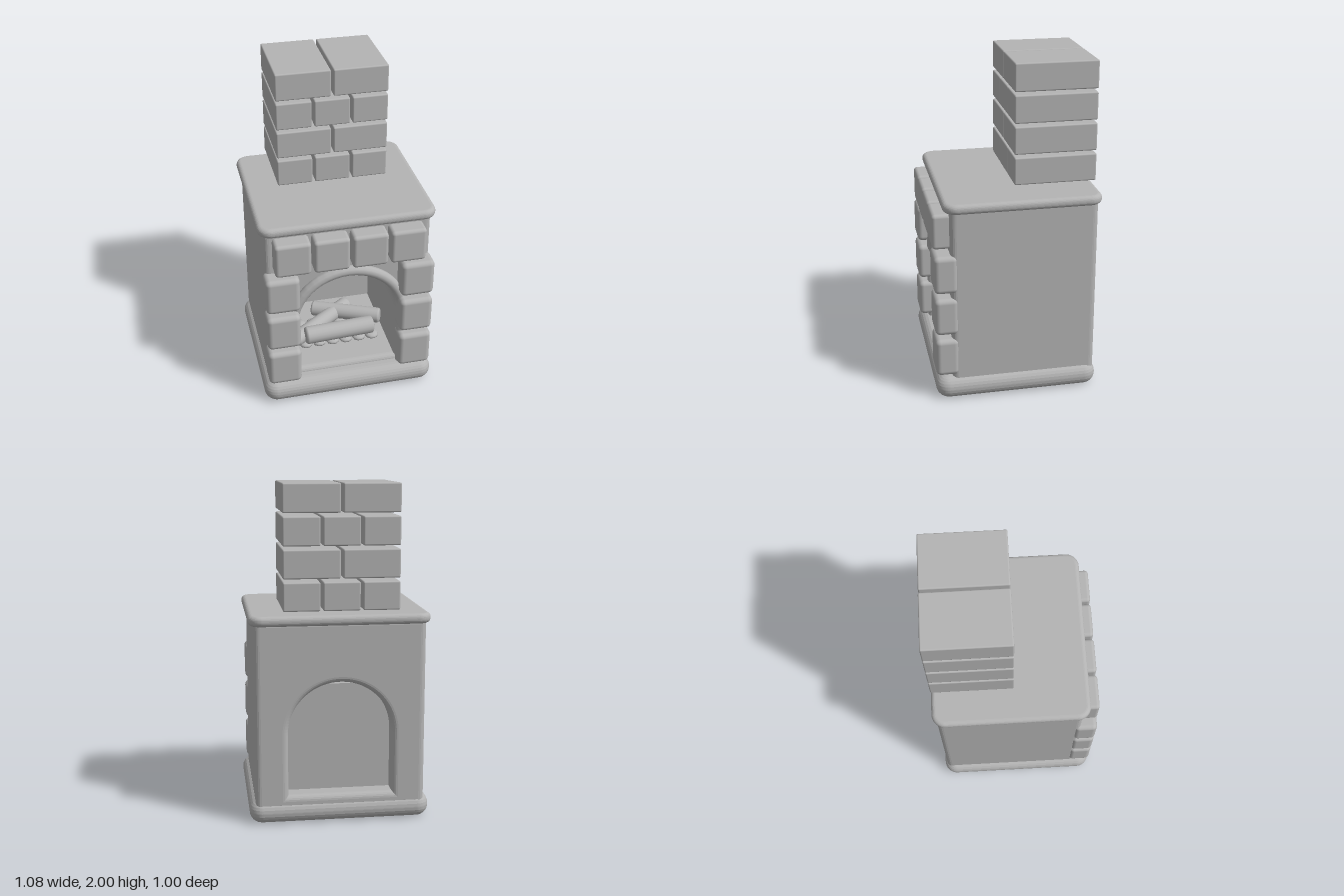
import * as THREE from 'three';
import { RoundedBoxGeometry } from 'three/addons/geometries/RoundedBoxGeometry.js';

const stone = new THREE.MeshStandardMaterial({ color: 0xb4b4b4 });
stone.name = 'stone grey';

function add(parent, name, geometry) {
  const mesh = new THREE.Mesh(geometry, stone);
  mesh.name = name;
  parent.add(mesh);
  return mesh;
}

// Rounded box given by its limits on each axis
function block(parent, name, [x0, x1], [y0, y1], [z0, z1], radius) {
  const geo = new RoundedBoxGeometry(x1 - x0, y1 - y0, z1 - z0, 3, radius);
  add(parent, name, geo).position.set((x0 + x1) / 2, (y0 + y1) / 2, (z0 + z1) / 2);
}

// Horizontal slab with round corners in plan and a fully rounded rim
function slab(parent, name, halfWidth, [y0, y1], [z0, z1], corner) {
  const r = (y1 - y0) / 2 - 0.003;
  const w = halfWidth, a = -z1, b = -z0, c = corner;
  const s = new THREE.Shape();
  s.absarc(w - c, b - c, c, 0, Math.PI / 2);
  s.absarc(-w + c, b - c, c, Math.PI / 2, Math.PI);
  s.absarc(-w + c, a + c, c, Math.PI, Math.PI * 1.5);
  s.absarc(w - c, a + c, c, Math.PI * 1.5, Math.PI * 2);
  s.closePath();
  const geo = new THREE.ExtrudeGeometry(s, {
    depth: y1 - y0 - 2 * r, bevelThickness: r, bevelSize: Math.min(r, c * 0.9),
    bevelOffset: -Math.min(r, c * 0.9), bevelSegments: 6, curveSegments: 8,
  });
  geo.rotateX(-Math.PI / 2).translate(0, y0 + r, 0);
  add(parent, name, geo);
}

// Log with rounded rims lying between two points
function log(parent, from, to, radius) {
  const a = new THREE.Vector3(...from), b = new THREE.Vector3(...to);
  const h = a.distanceTo(b) / 2, e = 0.015;
  const profile = [[0, -h], [radius - e, -h], [radius - 0.004, -h + 0.005], [radius, -h + e],
    [radius, h - e], [radius - 0.004, h - 0.005], [radius - e, h], [0, h]];
  const mesh = add(parent, 'log', new THREE.LatheGeometry(profile.map(p => new THREE.Vector2(...p)), 18));
  mesh.position.copy(a).add(b).multiplyScalar(0.5);
  mesh.quaternion.setFromUnitVectors(new THREE.Vector3(0, 1, 0), b.sub(a).normalize());
}

export function createModel() {
  const model = new THREE.Group();
  model.name = 'fireplace';

  // Base and mantel
  slab(model, 'base', 0.54, [0, 0.14], [-0.49, 0.5], 0.08);
  slab(model, 'mantel', 0.535, [1.19, 1.25], [-0.5, 0.44], 0.08);

  // Body pierced by an arched opening with rounded edges
  const body = new THREE.Shape();
  body.moveTo(-0.505, 0.08).lineTo(0.505, 0.08).lineTo(0.505, 1.22).lineTo(-0.505, 1.22).closePath();
  const hole = new THREE.Path();
  hole.moveTo(-0.31, 0.17).lineTo(-0.31, 0.54);
  hole.absarc(0, 0.54, 0.31, Math.PI, 0, true);
  hole.lineTo(0.31, 0.17).closePath();
  body.holes.push(hole);
  const bevel = 0.035, front = 0.4, back = -0.475;
  const bodyGeo = new THREE.ExtrudeGeometry(body, {
    depth: front - back - 2 * bevel, bevelThickness: bevel, bevelSize: bevel,
    bevelOffset: -bevel, bevelSegments: 5, curveSegments: 28,
  });
  bodyGeo.translate(0, 0, back + bevel);
  add(model, 'body', bodyGeo);

  // Back panel closing most of the opening
  add(model, 'backPanel', new THREE.BoxGeometry(0.7, 0.72, 0.08)).position.set(0, 0.46, -0.32);

  // Round trim following the arch and its legs
  const R = 0.347, trim = new THREE.CurvePath();
  const points = [new THREE.Vector3(-R, 0.1, 0.41)];
  for (let i = 0; i <= 24; i++) {
    const t = Math.PI * (1 - i / 24);
    points.push(new THREE.Vector3(R * Math.cos(t), 0.54 + R * Math.sin(t), 0.41));
  }
  points.push(new THREE.Vector3(R, 0.1, 0.41));
  for (let i = 1; i < points.length; i++) trim.add(new THREE.LineCurve3(points[i - 1], points[i]));
  add(model, 'archTrim', new THREE.TubeGeometry(trim, 120, 0.033, 10));

  // Stones up both sides and across the top
  const stones = new THREE.Group();
  stones.name = 'facingStones';
  model.add(stones);
  for (const y of [[0.157, 0.395], [0.427, 0.66], [0.695, 0.93]]) {
    block(stones, 'leftStone', [0.31, 0.515], y, [0.36, 0.5], 0.03);
    block(stones, 'rightStone', [-0.515, -0.31], y, [0.36, 0.5], 0.03);
  }
  for (let i = 0; i < 4; i++) {
    const x = -0.455 + i * 0.231;
    block(stones, 'topStone', [x, x + 0.214], [0.955, 1.17], [0.36, 0.5], 0.022);
  }

  // Chimney rows alternating three and two bricks
  const chimney = new THREE.Group();
  chimney.name = 'chimney';
  model.add(chimney);
  for (let row = 0; row < 4; row++) {
    const count = row % 2 ? 2 : 3, gap = 0.016;
    const width = (0.676 - gap * (count - 1)) / count;
    const y = 1.278 + row * 0.1853;
    for (let i = 0; i < count; i++) {
      const x = -0.34 + i * (width + gap);
      block(chimney, 'brick', [x, x + width], [y, y + 0.166], [-0.5, -0.007], 0.009);
    }
  }

  // Logs on a bed of embers
  const fire = new THREE.Group();
  fire.name = 'fire';
  model.add(fire);
  log(fire, [-0.3, 0.235, 0.19], [0.12, 0.235, -0.12], 0.05);
  log(fire, [0.3, 0.25, 0.08], [-0.12, 0.235, -0.12], 0.05);
  log(fire, [-0.23, 0.267, 0.2], [0.225, 0.262, 0.17], 0.057);
  for (let i = 0; i < 18; i++) {
    const ember = add(fire, 'ember', new THREE.SphereGeometry(0.045, 10, 8));
    ember.scale.y = 0.5;
    ember.position.set(-0.22 + (i % 6) * 0.088, 0.18, 0.17 - Math.floor(i / 6) * 0.1);
  }
  return model;
}
